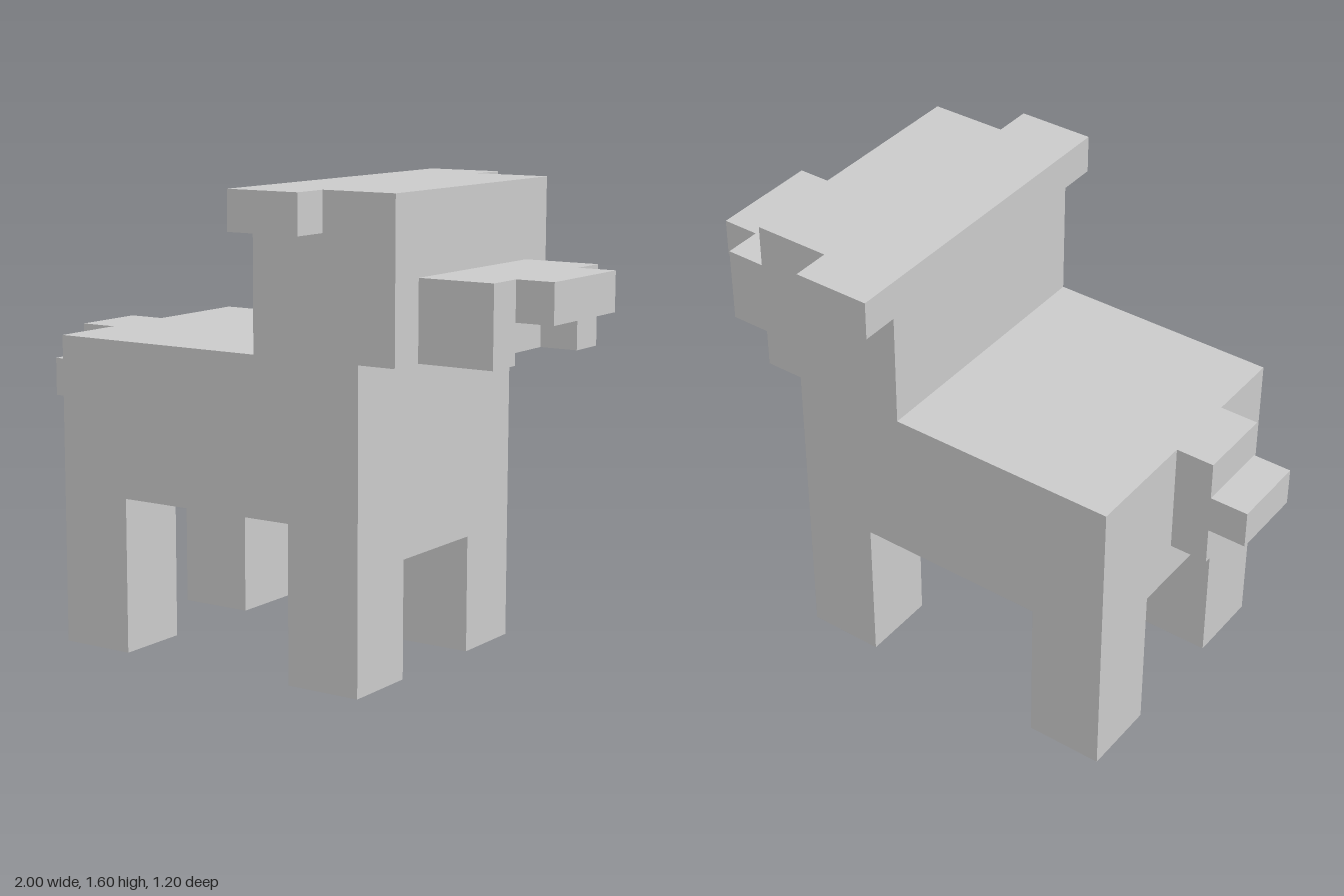
import * as THREE from 'three';

const U = 2 / 15; // one grid cell of the blocky design
const material = new THREE.MeshStandardMaterial({ color: 0xcccccc, flatShading: true });

// Box from [min, max] ranges along x, y and z, in cells
function block(name, [x0, x1], [y0, y1], [z0, z1]) {
  const geometry = new THREE.BoxGeometry(x1 - x0, y1 - y0, z1 - z0).scale(U, U, U);
  const mesh = new THREE.Mesh(geometry, material);
  mesh.name = name;
  mesh.position.set((x0 + x1) / 2, (y0 + y1) / 2, (z0 + z1) / 2).multiplyScalar(U);
  return mesh;
}

export function createModel() {
  const model = new THREE.Group();
  model.name = 'blockyAnimal';

  // Torso and head share one side profile
  const profile = [[-5.5, 4], [3.5, 4], [3.5, 8], [4.5, 8], [4.5, 12], [0.5, 12], [0.5, 8], [-5.5, 8]];
  const shape = new THREE.Shape(profile.map(([x, y]) => new THREE.Vector2(x, y)));
  const bodyGeometry = new THREE.ExtrudeGeometry(shape, { depth: 7, bevelEnabled: false });
  bodyGeometry.translate(0, 0, -3.5).scale(U, U, U);
  const body = new THREE.Mesh(bodyGeometry, material);
  body.name = 'torsoAndHead';
  model.add(body);

  // Paired parts on both sides
  for (const [side, s] of [['Near', 1], ['Far', -1]]) {
    const span = (a, b) => (s > 0 ? [a, b] : [-b, -a]);
    model.add(
      block('frontLeg' + side, [1.5, 3.5], [0, 4], span(1.5, 3.5)),
      block('backLeg' + side, [-5.5, -3.5], [0, 4], span(1.5, 3.5)),
      block('ear' + side, [0.5, 2.5], [11, 12], span(3.5, 4.5)),
      block('jowl' + side, [4.5, 6.5], [8, 9], span(1.5, 2.5)),
    );
  }

  // Muzzle: upper snout, recessed mouth and protruding nose
  model.add(
    block('snout', [4.5, 6.5], [9, 10], [-2.5, 2.5]),
    block('mouth', [4.5, 5.5], [8, 9], [-1.5, 1.5]),
    block('nose', [6.5, 7.5], [9, 10], [-1.5, 1.5]),
  );

  // Chest plate between the front legs, small belly block by one back leg
  model.add(
    block('chest', [2.5, 3.5], [3, 4], [-1.5, 1.5]),
    block('bellyBlock', [-4.5, -3.5], [3, 4], [-1.5, -0.5]),
  );

  // Tail, set slightly off centre
  model.add(
    block('tailBase', [-6.5, -5.5], [5, 8], [-0.5, 1.5]),
    block('tailTip', [-7.5, -6.5], [6, 7], [-0.5, 1.5]),
  );

  return model;
}
